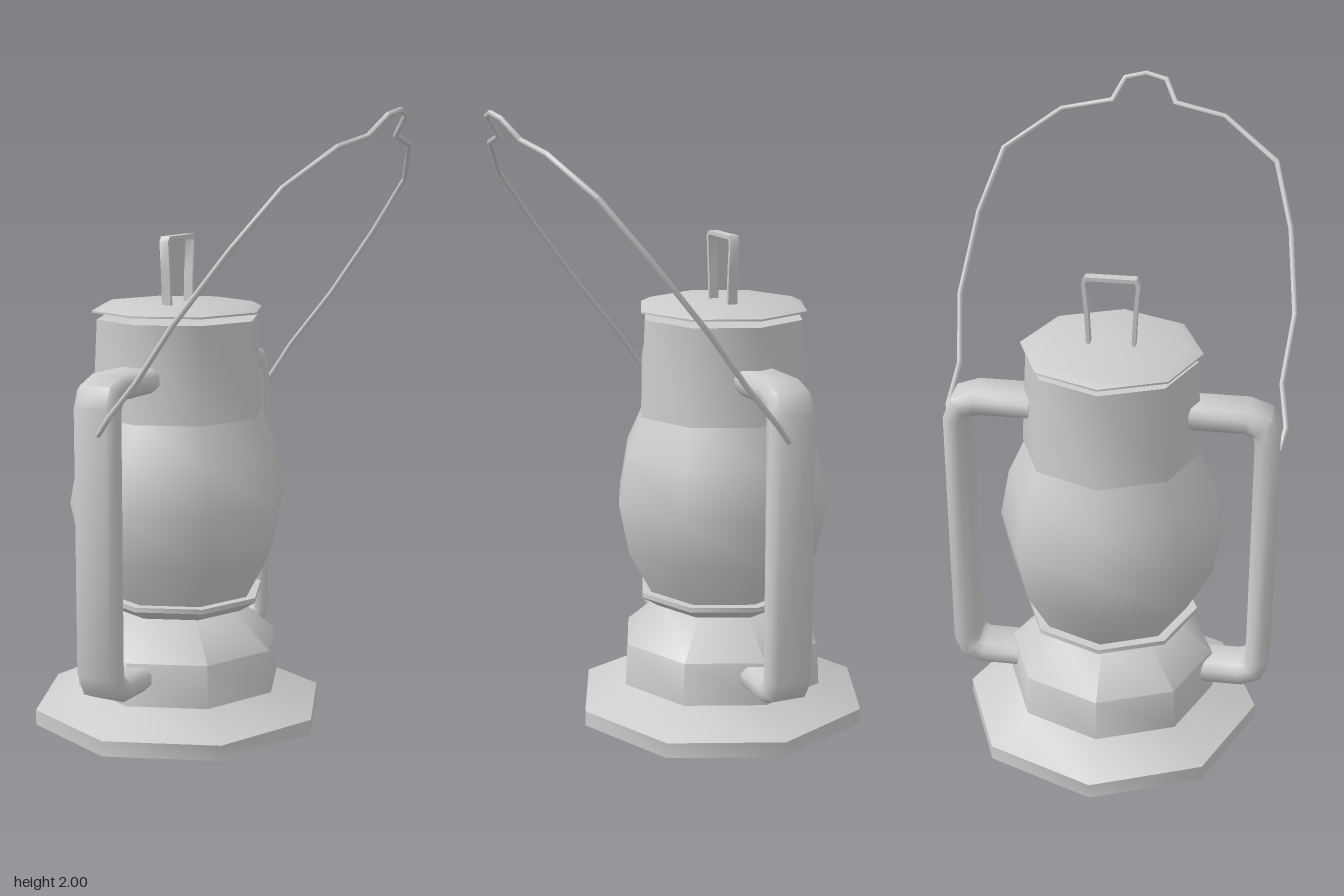
import * as THREE from 'three';
import { toCreasedNormals } from 'three/addons/utils/BufferGeometryUtils.js';

const AXIS_X = -0.145; // the body stands off-centre because the bail leans to one side
const material = new THREE.MeshStandardMaterial({ color: 0xcccccc });

function makeMesh(name, geometry, crease = 0.88) {
  const mesh = new THREE.Mesh(toCreasedNormals(geometry, crease), material);
  mesh.name = name;
  return mesh;
}

// Eight-sided turned part from [radius, height] pairs, bottom to top
function turned(name, profile) {
  const points = profile.map(([r, y]) => new THREE.Vector2(r, y));
  const mesh = makeMesh(name, new THREE.LatheGeometry(points, 8));
  mesh.position.x = AXIS_X;
  return mesh;
}

// Sweeps a convex section along a planar path with mitred corners.
// Section pairs are [along the plane normal, across the path].
function sweep(path, normal, section) {
  const n = section.length;
  const positions = [];
  const index = [];
  path.forEach((p, i) => {
    const a = p.clone().sub(path[Math.max(i - 1, 0)]).normalize();
    const b = path[Math.min(i + 1, path.length - 1)].clone().sub(p).normalize();
    const tangent = a.clone().add(b).normalize();
    const side = tangent.clone().cross(normal).normalize();
    const miter = 1 / Math.max(0.5, tangent.dot(a.lengthSq() > 0 ? a : b));
    for (const [u, v] of section) {
      const q = p.clone().addScaledVector(normal, u).addScaledVector(side, v * miter);
      positions.push(q.x, q.y, q.z);
    }
    if (i === 0) return;
    for (let j = 0; j < n; j++) {
      const k = (j + 1) % n;
      const lo = (i - 1) * n, hi = i * n;
      index.push(lo + j, hi + k, lo + k, lo + j, hi + j, hi + k);
    }
  });
  // End caps
  const last = (path.length - 1) * n;
  for (let j = 1; j < n - 1; j++) {
    index.push(0, j, j + 1, last, last + j + 1, last + j);
  }
  // Section winding runs from normal to side, so its faces point inward: flip them
  for (let t = 0; t < index.length; t += 3) {
    [index[t + 1], index[t + 2]] = [index[t + 2], index[t + 1]];
  }
  const geometry = new THREE.BufferGeometry();
  geometry.setAttribute('position', new THREE.Float32BufferAttribute(positions, 3));
  geometry.setIndex(index);
  return orientOutward(geometry);
}

// Makes a closed geometry face outward, judged by its signed volume
function orientOutward(geometry) {
  const p = geometry.attributes.position;
  const idx = geometry.index.array;
  const [a, b, c] = [0, 1, 2].map(() => new THREE.Vector3());
  let volume = 0;
  for (let t = 0; t < idx.length; t += 3) {
    a.fromBufferAttribute(p, idx[t]);
    b.fromBufferAttribute(p, idx[t + 1]);
    c.fromBufferAttribute(p, idx[t + 2]);
    volume += a.dot(b.cross(c));
  }
  if (volume < 0) {
    for (let t = 0; t < idx.length; t += 3) [idx[t + 1], idx[t + 2]] = [idx[t + 2], idx[t + 1]];
  }
  return geometry;
}

// Rectangle with cut corners, half sizes w and h, cuts cw and ch
const cutRect = (w, h, cw, ch) => [
  [w, -h + ch], [w, h - ch], [w - cw, h], [-w + cw, h],
  [-w, h - ch], [-w, -h + ch], [-w + cw, -h], [w - cw, -h],
];

export function createModel() {
  const lantern = new THREE.Group();
  lantern.name = 'lantern';
  const xAxis = new THREE.Vector3(1, 0, 0);

  // Foot and fuel tank
  lantern.add(turned('base', [
    [0, 0], [0.49, 0], [0.49, 0.05], [0.345, 0.12],
    [0.338, 0.26], [0.2, 0.38], [0, 0.38],
  ]));

  // Dish under the globe
  lantern.add(turned('globeSeat', [
    [0, 0.38], [0.23, 0.38], [0.285, 0.415], [0.285, 0.43], [0, 0.43],
  ]));

  // Bulging globe
  lantern.add(turned('globe', [
    [0.25, 0.425], [0.33, 0.57], [0.365, 0.74], [0.335, 0.9], [0.275, 1.03],
  ]));

  // Chimney collar, slightly tapered
  lantern.add(turned('chimney', [
    [0, 1.022], [0.286, 1.022], [0.27, 1.335], [0, 1.335],
  ]));

  // Lid hovering just above the chimney
  lantern.add(turned('lid', [
    [0, 1.358], [0.285, 1.358], [0.285, 1.364], [0.25, 1.38], [0, 1.38],
  ]));

  // Strap loop on the lid
  const loop = [
    [0.07, 1.37], [0.075, 1.48], [0.084, 1.58], [0.076, 1.594],
    [-0.076, 1.594], [-0.084, 1.58], [-0.075, 1.48], [-0.07, 1.37],
  ].map(([z, y]) => new THREE.Vector3(AXIS_X, y, z));
  lantern.add(makeMesh('lidHandle', sweep(loop, xAxis, [
    [0.016, -0.006], [0.016, 0.006], [-0.016, 0.006], [-0.016, -0.006],
  ])));

  // Side arms joining chimney and tank
  const armPath = [
    [0.25, 1.163], [0.425, 1.163], [0.475, 1.145], [0.4925, 1.1],
    [0.4925, 0.27], [0.476, 0.228], [0.435, 0.21], [0.31, 0.21],
  ];
  for (const [name, s] of [['frontArm', 1], ['backArm', -1]]) {
    const path = armPath.map(([z, y]) => new THREE.Vector3(AXIS_X, y, z * s));
    lantern.add(makeMesh(name, sweep(path, xAxis, cutRect(0.075, 0.038, 0.022, 0.022))));
  }

  // Leaning wire bail, mirrored about its middle
  const half = [
    [0.53, 1.03], [0.543, 1.09], [0.52, 1.2], [0.543, 1.38], [0.51, 1.6],
    [0.448, 1.775], [0.27, 1.888], [0.105, 1.918], [0.068, 1.98],
  ];
  const outline = [...half, [0, 1.994], ...half.map(([z, y]) => [-z, y]).reverse()];
  const lean = 0.768;
  const bailPath = outline.map(([z, y]) => new THREE.Vector3(-0.12 + (y - 1.03) * lean, y, z));
  const bailNormal = new THREE.Vector3(1, -lean, 0).normalize();
  lantern.add(makeMesh('bail', sweep(bailPath, bailNormal, cutRect(0.008, 0.008, 0.0045, 0.0045))));

  return lantern;
}
